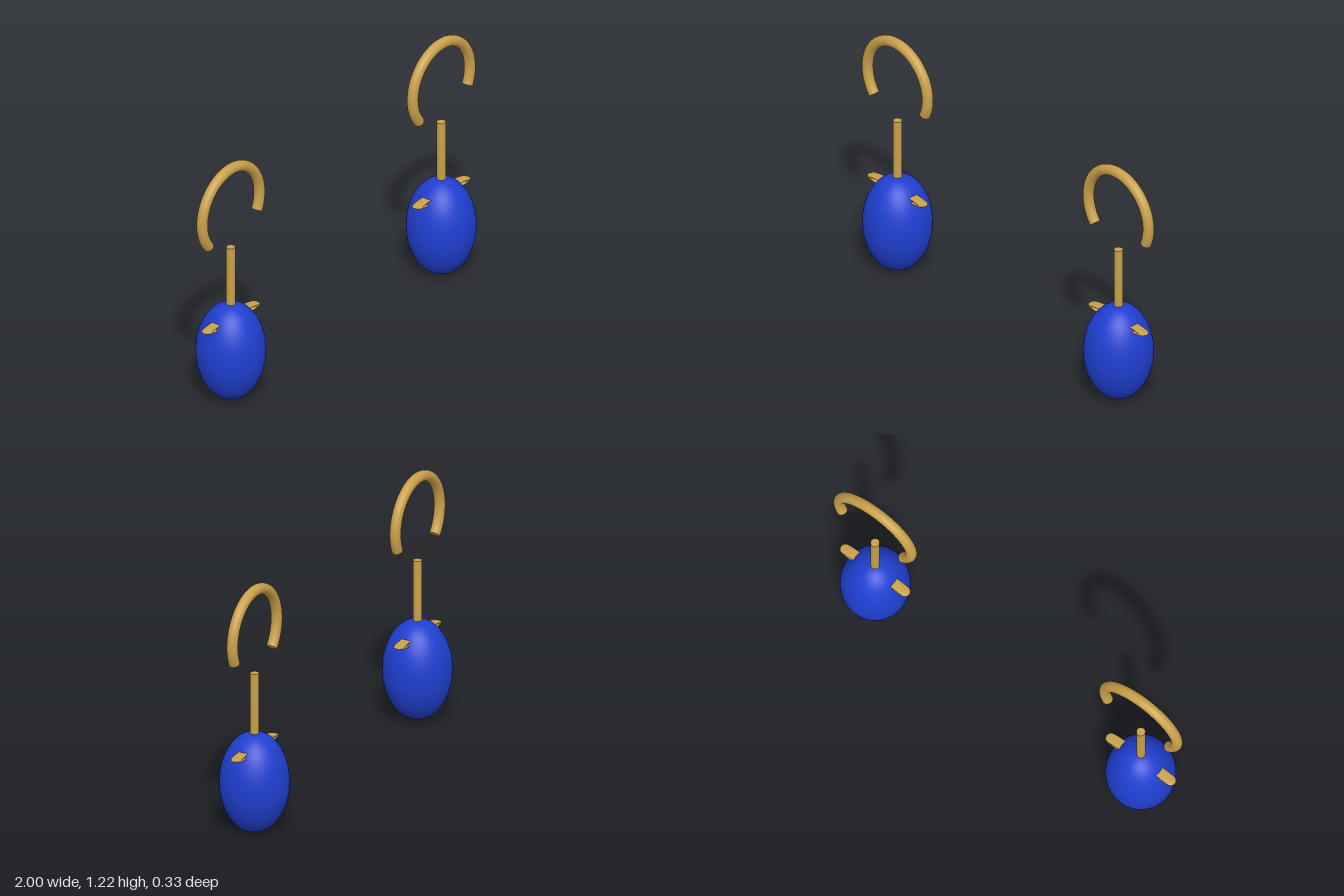
import * as THREE from 'three';

const gold = new THREE.MeshStandardMaterial({ color: 0xc9a04a });
const blue = new THREE.MeshStandardMaterial({ color: 0x1f3fd0 });

function addMesh(parent, name, geometry, material, y) {
  const mesh = new THREE.Mesh(geometry, material);
  mesh.name = name;
  mesh.position.y = y;
  parent.add(mesh);
  return mesh;
}

function createEarring() {
  const earring = new THREE.Group();
  const R = 0.208, r = 0.026;
  const start = THREE.MathUtils.degToRad(-24), arc = THREE.MathUtils.degToRad(243);

  // open hook, with a flat disc closing each end
  const hook = new THREE.Group();
  hook.name = 'hook';
  hook.position.y = 0.985;
  hook.rotation.z = start;
  earring.add(hook);
  addMesh(hook, 'hookWire', new THREE.TorusGeometry(R, r, 24, 80, arc), gold, 0);
  for (const [angle, turn] of [[0, Math.PI / 2], [arc, -Math.PI / 2]]) {
    const cap = addMesh(hook, 'hookEnd', new THREE.CircleGeometry(r, 24), gold, 0);
    cap.position.set(R * Math.cos(angle), R * Math.sin(angle), 0);
    cap.rotation.set(turn, 0, angle, 'ZYX');
  }

  // straight stem running into the drop
  addMesh(earring, 'stem', new THREE.CylinderGeometry(0.021, 0.021, 0.36, 24), gold, 0.605);

  // upright ring squashed almost flat, its ends showing either side of the drop
  const band = addMesh(earring, 'flattenedRing', new THREE.TorusGeometry(0.171, r, 20, 64), gold, 0.413);
  band.scale.y = 0.085;

  // egg-shaped drop
  const drop = addMesh(earring, 'drop', new THREE.SphereGeometry(0.163, 48, 32), blue, 0.245);
  drop.scale.y = 1.5;
  return earring;
}

export function createModel() {
  const model = new THREE.Group();
  model.name = 'earrings';
  for (const [name, x] of [['rightEarring', -0.765], ['leftEarring', 0.765]]) {
    const earring = createEarring();
    earring.name = name;
    earring.position.x = x;
    model.add(earring);
  }
  return model;
}
